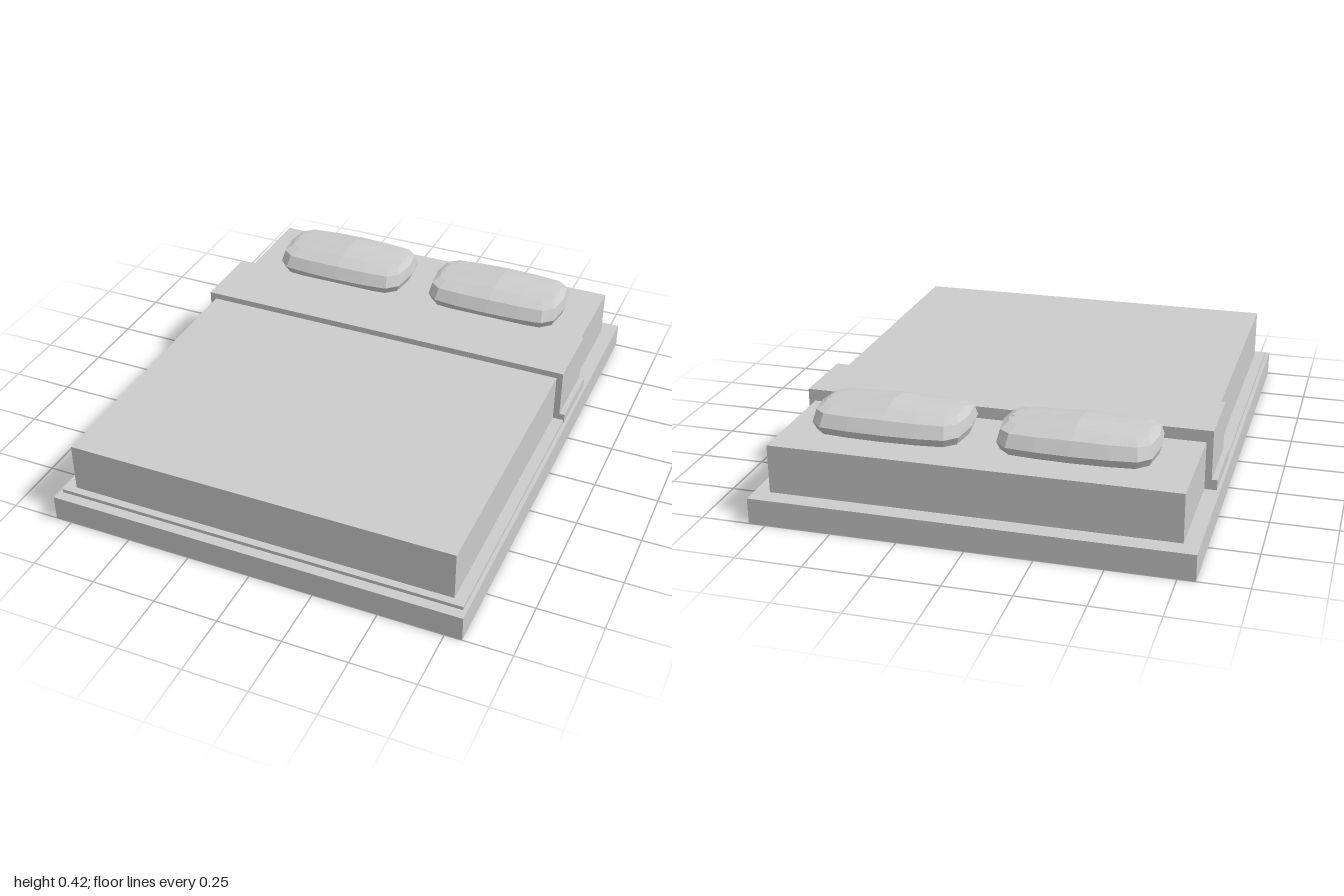
import * as THREE from 'three';

const grey = new THREE.MeshStandardMaterial({ color: 0xcccccc, flatShading: true, side: THREE.DoubleSide });

// Box given by half width, y range and z range, centred on x = 0
function slab(name, hx, y0, y1, z0, z1) {
  const mesh = new THREE.Mesh(new THREE.BoxGeometry(2 * hx, y1 - y0, z1 - z0), grey);
  mesh.position.set(0, (y0 + y1) / 2, (z0 + z1) / 2);
  mesh.name = name;
  return mesh;
}

// Faceted cushion: one rounded plan outline, scaled at each level, closing in a ridge
function pillowGeometry() {
  const quarter = [[0.292, 0], [0.278, 0.115], [0.235, 0.157], [0.13, 0.168], [0, 0.172]];
  const half = [...quarter, ...quarter.slice(0, 4).reverse().map(([x, z]) => [-x, z])];
  const outline = [...half.map(([x, z]) => [x, -z]), ...half.slice(1, -1).reverse()];
  // [height, x scale, z scale, rise towards the middle]
  const levels = [
    [0, 0.85, 0, 0], [0, 0.88, 0.5, 0], [0.018, 0.96, 0.9, 0], [0.05, 1, 1, 0],
    [0.092, 0.97, 0.82, 0.004], [0.104, 0.9, 0.45, 0.014], [0.108, 0.86, 0, 0.022],
  ];
  const n = outline.length;
  const positions = [];
  const index = [];
  levels.forEach(([y, sx, sz, rise], k) => {
    outline.forEach(([x, z], i) => {
      positions.push(x * sx, y + rise * (1 - Math.abs(x) / 0.292), z * sz);
      if (k === 0) return;
      const a = (k - 1) * n + i, b = (k - 1) * n + (i + 1) % n;
      index.push(a, b, b + n, a, b + n, a + n);
    });
  });
  const geometry = new THREE.BufferGeometry();
  geometry.setAttribute('position', new THREE.Float32BufferAttribute(positions, 3));
  geometry.setIndex(index);
  geometry.computeVertexNormals();
  return geometry;
}

export function createModel() {
  const bed = new THREE.Group();
  bed.name = 'bed';

  // Platform and mattress
  bed.add(slab('base', 0.815, 0, 0.1, -1, 1));
  bed.add(slab('mattress', 0.757, 0.1, 0.285, -0.93, 0.9));

  // Blanket with a thin hem lying on the platform
  bed.add(slab('blanket', 0.757, 0.1, 0.306, -0.21, 0.93));
  bed.add(slab('blanketHem', 0.8, 0.1, 0.114, -0.21, 0.96));

  // Thicker turned-back fold with its own hem
  bed.add(slab('blanketFold', 0.782, 0.1, 0.331, -0.492, -0.208));
  bed.add(slab('foldHem', 0.803, 0.1, 0.14, -0.492, -0.208));

  // Pair of pillows
  const geometry = pillowGeometry();
  [['rightPillow', -0.338], ['leftPillow', 0.356]].forEach(([name, x]) => {
    const pillow = new THREE.Mesh(geometry, grey);
    pillow.position.set(x, 0.286, -0.68);
    pillow.name = name;
    bed.add(pillow);
  });
  return bed;
}
